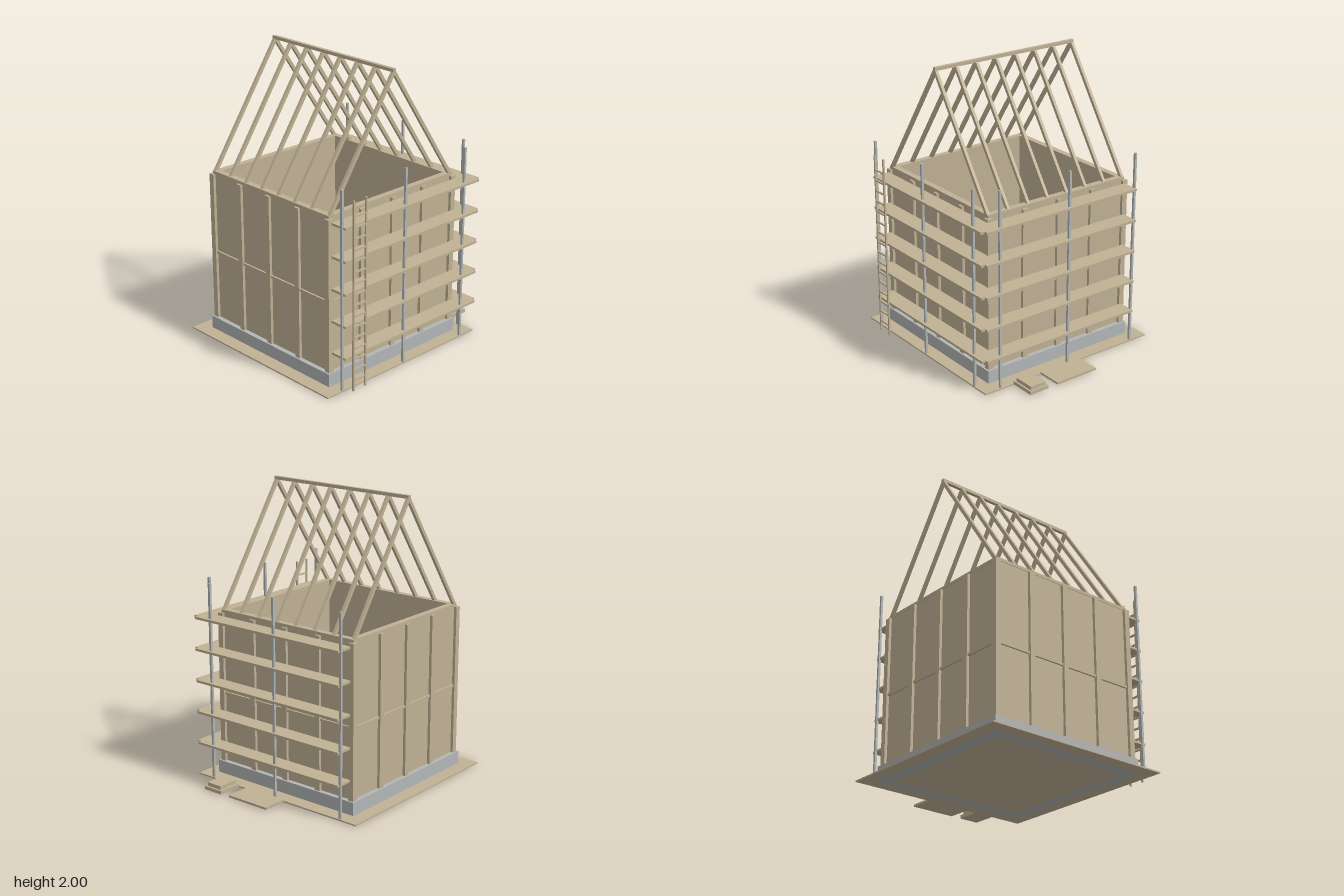
import * as THREE from 'three';

const timber = new THREE.MeshStandardMaterial({ color: 0xc0b194 });
timber.name = 'timber tan';
const steel = new THREE.MeshStandardMaterial({ color: 0xb3b6b6 });
steel.name = 'concrete and steel grey';

// Box given by its minimum and maximum corners
function box(parent, name, mat, x0, x1, y0, y1, z0, z1) {
  const m = new THREE.Mesh(new THREE.BoxGeometry(x1 - x0, y1 - y0, z1 - z0), mat);
  m.position.set((x0 + x1) / 2, (y0 + y1) / 2, (z0 + z1) / 2);
  m.name = name;
  parent.add(m);
}

// Outlines run counter-clockwise so that holes face inwards
const poly = (pts) => new THREE.Shape(pts.map(([x, y]) => new THREE.Vector2(x, y)));
const rect = (x0, x1, z0, z1) => [[x0, -z1], [x1, -z1], [x1, -z0], [x0, -z0]];
const square = (h) => rect(-h, h, -h, h);

// Horizontal slab: outline in (x, -z), optional hole, from y0 to y1
function slab(parent, name, mat, pts, y0, y1, hole) {
  const shape = poly(pts);
  if (hole) shape.holes.push(poly(hole));
  const geo = new THREE.ExtrudeGeometry(shape, { depth: y1 - y0, bevelEnabled: false });
  geo.rotateX(-Math.PI / 2);
  const m = new THREE.Mesh(geo, mat);
  m.position.y = y0;
  m.name = name;
  parent.add(m);
}

function group(parent, name) {
  const g = new THREE.Group();
  g.name = name;
  parent.add(g);
  return g;
}

export function createModel() {
  const model = new THREE.Group();
  model.name = 'houseUnderConstruction';
  const CX = -0.09, CZ = -0.0195;

  // Site ground, open where the foundation ring sits
  const F = 0.5925, W = 0.56, I = 0.52;
  slab(model, 'ground', timber, rect(-0.78, 0.601, -0.71, 0.667), 0, 0.01,
    rect(CX - F, CX + F, CZ - F, CZ + F));

  // House, built around its own centre
  const house = group(model, 'house');
  house.position.set(CX, 0, CZ);
  box(house, 'floor', timber, -I, I, 0, 0.01, -I, I);
  slab(house, 'foundation', steel, square(F), 0, 0.1, square(I));
  slab(house, 'walls', timber, square(W), 0.1, 1.154, square(I));
  slab(house, 'topPlate', timber, square(W + 0.004), 1.154, 1.175, square(I));

  // Studs and middle rails on each of the four sides
  for (let s = 0; s < 4; s++) {
    const side = group(house, 'wallFraming');
    side.rotation.y = s * Math.PI / 2;
    for (let i = -2; i <= 2; i++) {
      const x = i * 0.28;
      box(side, 'stud', timber, x - 0.02, x + 0.02, 0.1, 1.154, W, W + 0.02);
      if (i < 2) box(side, 'rail', timber, x + 0.02, x + 0.26, 0.583, 0.6, W, W + 0.013);
    }
  }

  // Roof rafters in mirrored pairs, with the ridge beam
  const roof = group(house, 'roofFrame');
  const halfRafter = [[-0.5575, 1.172], [-0.5295, 1.172], [0, 1.958], [0, 2]];
  for (const sx of [1, -1]) {
    const geo = new THREE.ExtrudeGeometry(poly(halfRafter.map(([x, y]) => [x * sx, y])),
      { depth: 0.021, bevelEnabled: false });
    for (let i = 0; i < 8; i++) {
      const rafter = new THREE.Mesh(geo, timber);
      rafter.name = 'rafter';
      rafter.position.z = -0.5655 + i * 0.1586;
      roof.add(rafter);
    }
  }
  box(roof, 'ridgeBeam', timber, -0.0125, 0.0125, 1.978, 2, -0.5655, 0.5657);

  // Scaffold: L-shaped decks around the front and left sides
  const scaffold = group(model, 'scaffold');
  const deck = [[-0.645, -0.56], [0.489, -0.56], [0.489, 0.574], [0.614, 0.574],
    [0.614, -0.657], [0.587, -0.657], [0.587, -0.685], [-0.645, -0.685]];
  for (let i = 0; i < 5; i++) {
    const y = 0.228 + i * 0.2225;
    slab(scaffold, 'deck', timber, deck, y, y + 0.016);
  }

  // Scaffold poles
  const poles = [[-0.647, 0.657], [CX, 0.657], [0.468, 0.657],
    [0.587, -0.575], [0.587, -0.02], [0.587, 0.538]];
  for (const [x, z] of poles) {
    box(scaffold, 'pole', steel, x - 0.008, x + 0.008, 0, 1.378, z - 0.008, z + 0.008);
  }

  // Ladder standing at the front
  const ladder = group(model, 'ladder');
  for (const x of [-0.589, -0.484]) {
    box(ladder, 'ladderStile', timber, x - 0.006, x + 0.006, 0, 1.303, 0.695, 0.707);
  }
  for (let i = 1; i <= 16; i++) {
    const y = i * 0.075;
    box(ladder, 'ladderRung', timber, -0.583, -0.49, y - 0.005, y + 0.005, 0.695, 0.707);
  }

  // Stacked building material beside the house
  const piles = group(model, 'materialPiles');
  box(piles, 'sheetStack', timber, 0.601, 0.778, 0.005, 0.02, -0.109, 0.218);
  box(piles, 'lowerStack', timber, 0.599, 0.778, 0.004, 0.028, 0.294, 0.44);
  box(piles, 'upperStack', timber, 0.614, 0.764, 0.028, 0.054, 0.309, 0.427);

  return model;
}
